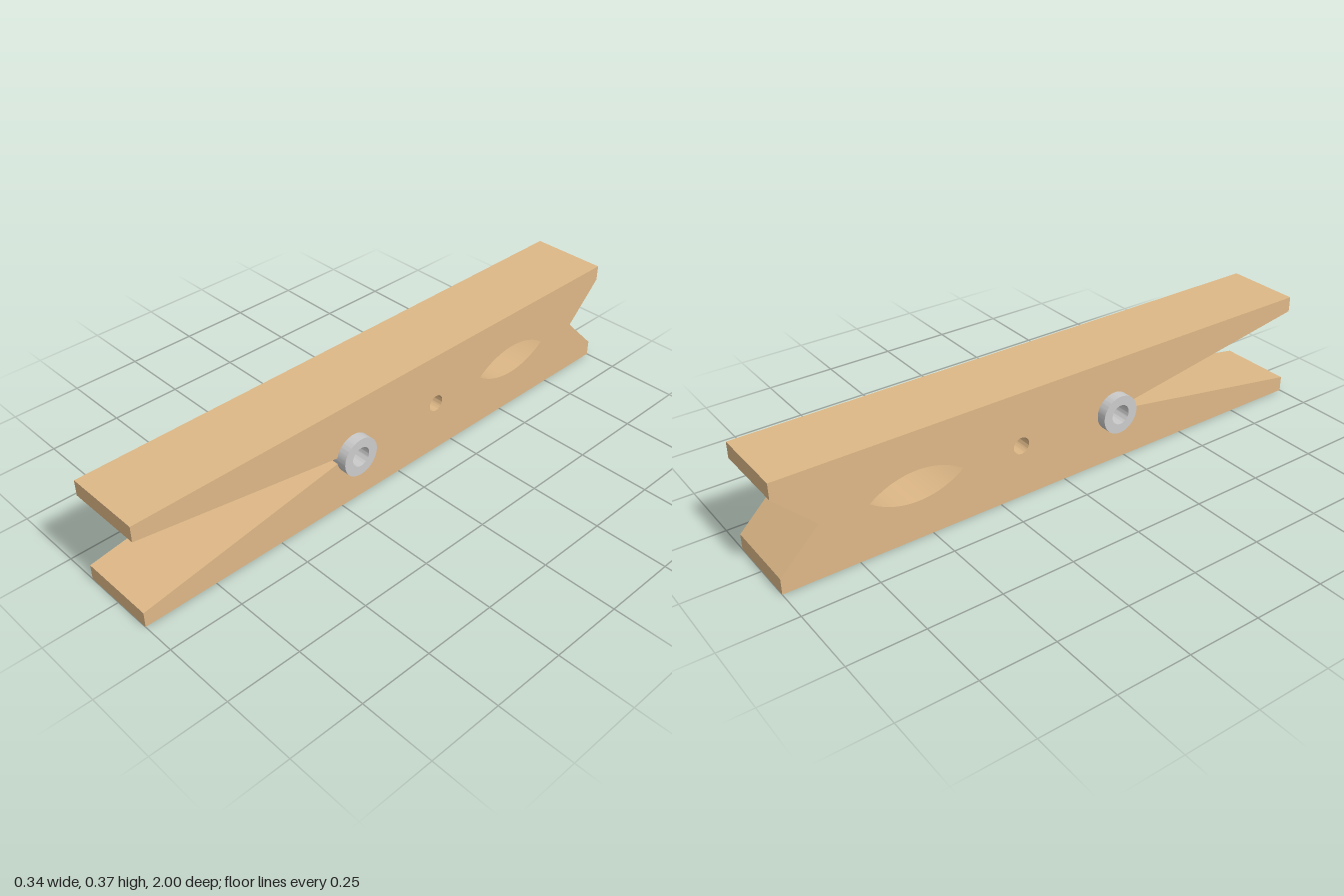
import * as THREE from 'three';
import { toCreasedNormals } from 'three/addons/utils/BufferGeometryUtils.js';

const HEIGHT = 0.373, MID = HEIGHT / 2;
const TIP = 0.054;                 // thickness of each jaw and handle tip
const COIL_Z = 0.2, COIL_R = 0.067, BORE_R = 0.034;

// Extrudes a side profile drawn in (z, y) across x, centred on x = 0
function extrudeAcross(shape, width) {
  const flat = new THREE.ExtrudeGeometry(shape, { depth: width, bevelEnabled: false, curveSegments: 32 });
  flat.translate(0, 0, -width / 2);
  flat.rotateY(-Math.PI / 2);
  return toCreasedNormals(flat, 0.5);
}

function circlePath(z, radius) {
  return new THREE.Path().absarc(z, MID, radius, 0, Math.PI * 2, true);
}

// Pointed lens made of two equal arcs
function lensPath(z, halfLength, halfHeight) {
  const r = (halfLength ** 2 + halfHeight ** 2) / (2 * halfHeight);
  const a = Math.asin(halfLength / r), drop = r - halfHeight;
  const path = new THREE.Path();
  path.absarc(z, MID - drop, r, Math.PI / 2 - a, Math.PI / 2 + a, false);
  path.absarc(z, MID + drop, r, -Math.PI / 2 - a, -Math.PI / 2 + a, false);
  return path;
}

export function createModel() {
  const group = new THREE.Group();
  group.name = 'clothespin';

  // Wooden body: open wedge at the front, seat for the coil, V notch at the back
  const wedge = Math.atan((MID - TIP) / (1 - COIL_Z));
  const profile = new THREE.Shape();
  profile.moveTo(1, HEIGHT);
  profile.lineTo(-1, HEIGHT);
  profile.lineTo(-1, HEIGHT - TIP);
  profile.lineTo(-0.867, MID);
  profile.lineTo(-1, TIP);
  profile.lineTo(-1, 0);
  profile.lineTo(1, 0);
  profile.lineTo(1, TIP);
  profile.absarc(COIL_Z, MID, COIL_R, -wedge, wedge, true);
  profile.lineTo(1, HEIGHT - TIP);
  profile.closePath();
  profile.holes.push(circlePath(-0.17, 0.029), lensPath(-0.545, 0.16, 0.054));

  const body = new THREE.Mesh(
    extrudeAcross(profile, 0.266),
    new THREE.MeshStandardMaterial({ color: 0xdeb887 })
  );
  body.name = 'woodenBody';
  group.add(body);

  // Hollow spring coil passing through the body
  const ring = new THREE.Shape();
  ring.absarc(COIL_Z, MID, COIL_R, 0, Math.PI * 2, false);
  ring.holes.push(circlePath(COIL_Z, BORE_R));
  const coil = new THREE.Mesh(
    extrudeAcross(ring, 0.336),
    new THREE.MeshStandardMaterial({ color: 0xcccccc })
  );
  coil.name = 'springCoil';
  group.add(coil);

  return group;
}
